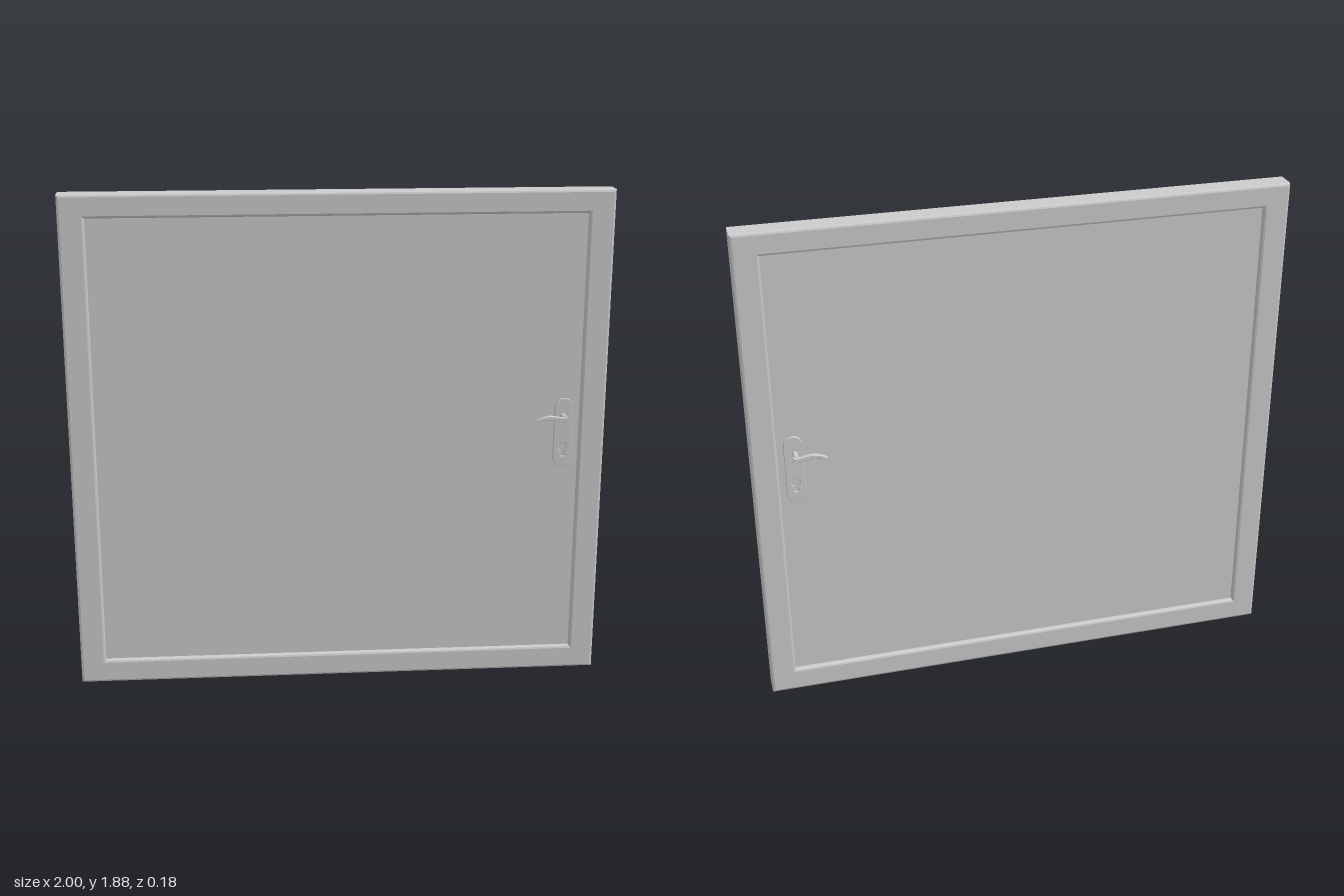
import * as THREE from 'three';

const material = new THREE.MeshStandardMaterial({ color: 0xcccccc, flatShading: true });

function rect(Type, x0, y0, x1, y1) {
  const p = new Type();
  p.moveTo(x0, y0);
  p.lineTo(x1, y0);
  p.lineTo(x1, y1);
  p.lineTo(x0, y1);
  p.closePath();
  return p;
}

// Extrude a shape to a total depth, centred on z, with the bevel kept inside the outline
function slab(name, shape, depth, bevel, z = 0) {
  const geometry = new THREE.ExtrudeGeometry(shape, {
    depth: depth - 2 * bevel,
    bevelEnabled: bevel > 0,
    bevelSize: bevel,
    bevelThickness: bevel,
    bevelOffset: -bevel,
    bevelSegments: 2,
    curveSegments: 12,
  });
  geometry.translate(0, 0, -depth / 2 + bevel);
  const mesh = new THREE.Mesh(geometry, material);
  mesh.name = name;
  mesh.position.z = z;
  return mesh;
}

// Rounded backplate with a keyhole
function plateShape() {
  const x = 0.845, r = 0.035, top = 1.1, bottom = 0.83;
  const s = new THREE.Shape();
  s.absarc(x, top - r, r, 0, Math.PI);
  s.absarc(x, bottom + r, r, Math.PI, 2 * Math.PI);
  s.closePath();
  const hole = new THREE.Path();
  hole.absarc(x, 0.912, 0.016, -Math.PI / 3, Math.PI * 4 / 3);
  hole.lineTo(x - 0.008, 0.874);
  hole.lineTo(x + 0.008, 0.874);
  hole.closePath();
  s.holes.push(hole);
  return s;
}

// Arched lever with a drooping tip
function leverShape() {
  const s = new THREE.Shape();
  s.moveTo(0.852, 1.024);
  s.lineTo(0.852, 1.042);
  s.bezierCurveTo(0.83, 1.032, 0.8, 1.05, 0.775, 1.045);
  s.quadraticCurveTo(0.75, 1.042, 0.73, 1.027);
  s.lineTo(0.733, 1.021);
  s.quadraticCurveTo(0.755, 1.032, 0.78, 1.031);
  s.bezierCurveTo(0.8, 1.032, 0.825, 1.018, 0.852, 1.024);
  return s;
}

function createHandle(side) {
  const handle = new THREE.Group();
  handle.name = side > 0 ? 'frontHandle' : 'backHandle';
  handle.add(slab('backplate', plateShape(), 0.01, 0.002, side * 0.029));
  handle.add(slab('lever', leverShape(), 0.016, 0.002, side * 0.08));
  const stem = new THREE.Mesh(new THREE.CylinderGeometry(0.01, 0.01, 0.055, 16), material);
  stem.name = 'stem';
  stem.rotation.x = Math.PI / 2;
  stem.position.set(0.841, 1.033, side * 0.0525);
  handle.add(stem);
  return handle;
}

export function createModel() {
  const door = new THREE.Group();
  door.name = 'door';

  // Outer frame with bevelled edges around the opening
  const outline = rect(THREE.Shape, -1, 0, 1, 1.88);
  outline.holes.push(rect(THREE.Path, -0.905, 0.09, 0.905, 1.795));
  door.add(slab('frame', outline, 0.09, 0.009));

  // Recessed leaf, its edges hidden within the frame
  door.add(slab('panel', rect(THREE.Shape, -0.92, 0.075, 0.92, 1.81), 0.05, 0));

  // A handle on each face
  for (const side of [1, -1]) door.add(createHandle(side));
  return door;
}
